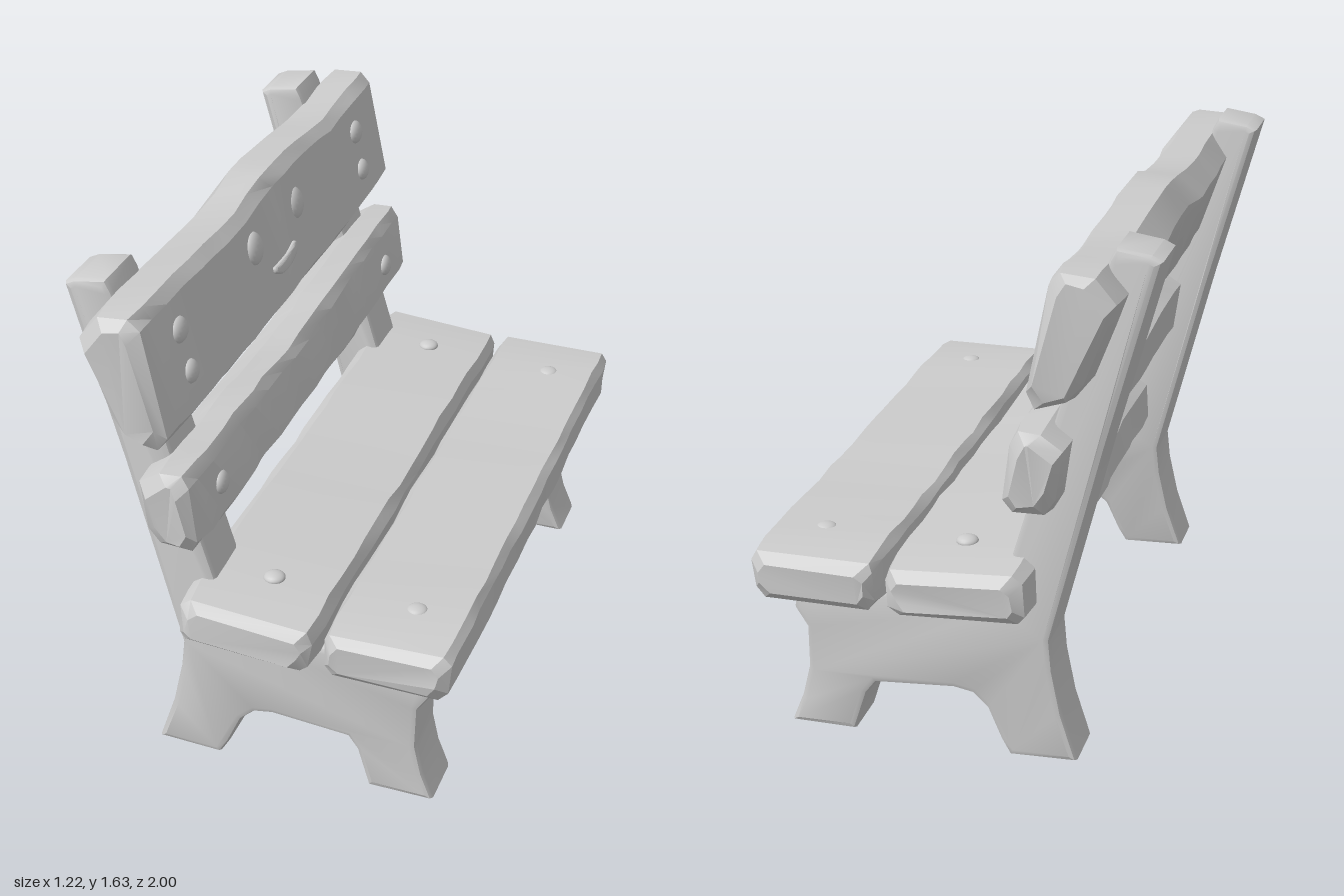
import * as THREE from 'three';
import { mergeVertices, toCreasedNormals } from 'three/addons/utils/BufferGeometryUtils.js';

const material = new THREE.MeshStandardMaterial({ color: 0xcccccc, side: THREE.DoubleSide });

function seeded(seed) {
  let s = seed;
  return () => ((s = (s * 16807) % 2147483647) / 2147483647) - 0.5;
}

function addMesh(parent, geometry, name) {
  const mesh = new THREE.Mesh(geometry, material);
  mesh.name = name;
  parent.add(mesh);
  return mesh;
}

// Linear lookup in a list of evenly spaced values, t from 0 to 1
function sample(list, t) {
  const f = Math.min(Math.max(t, 0), 1) * (list.length - 1);
  const i = Math.min(Math.floor(f), list.length - 2);
  return THREE.MathUtils.lerp(list[i], list[i + 1], f - i);
}

// Hewn plank: a counter-clockwise section in x,y lofted along z.
// top and bottom hold height offsets from the -z end to the +z end.
function plankGeometry({ section, z0, z1, top, bottom, seed }) {
  const rnd = seeded(seed);
  const n = section.length, steps = 18;
  const ys = section.map(p => p[1]);
  const lo = Math.min(...ys), hi = Math.max(...ys);
  const cx = section.reduce((a, p) => a + p[0], 0) / n;
  const cy = (lo + hi) / 2;
  // stations: shrunken end rings, then the full section
  const stations = [[z0, 0.035], [z0 + 0.03, 0.006]];
  for (let i = 1; i < steps; i++) stations.push([THREE.MathUtils.lerp(z0, z1, i / steps), 0]);
  stations.push([z1 - 0.03, 0.006], [z1, 0.035]);

  const pos = [], index = [];
  for (const [z, inset] of stations) {
    const t = (z - z0) / (z1 - z0);
    for (const [x, y] of section) {
      const v = (y - lo) / (hi - lo);
      const dx = Math.sign(x - cx) * Math.min(inset, Math.abs(x - cx));
      const dy = Math.sign(y - cy) * Math.min(inset, Math.abs(y - cy));
      pos.push(x - dx + rnd() * 0.009,
        y - dy + THREE.MathUtils.lerp(sample(bottom, t), sample(top, t), v) + rnd() * 0.007,
        z + (inset ? rnd() * 0.012 : rnd() * 0.05));
    }
  }
  const rings = stations.length;
  for (let i = 0; i < rings - 1; i++) {
    for (let j = 0; j < n; j++) {
      const a = i * n + j, b = i * n + (j + 1) % n;
      index.push(a, b, b + n, a, b + n, a + n);
    }
  }
  const last = (rings - 1) * n;
  for (let j = 1; j < n - 1; j++) {
    index.push(0, j + 1, j, last, last + j, last + j + 1);
  }
  const g = new THREE.BufferGeometry();
  g.setAttribute('position', new THREE.Float32BufferAttribute(pos, 3));
  g.setIndex(index);
  return toCreasedNormals(g, 0.4);
}

// Side frame: both feet, the seat support and the leaning post in one outline
function frameGeometry() {
  const outline = [
    [-0.39, 0.01], [-0.18, 0], [-0.15, 0.05], [-0.105, 0.15], [-0.06, 0.19], [0.0, 0.2],
    [0.25, 0.18], [0.28, 0.14], [0.32, 0.01], [0.53, 0.01], [0.495, 0.1], [0.472, 0.2],
    [0.475, 0.34], [0.515, 0.4], [0.5, 0.49], [-0.13, 0.5], [-0.18, 0.66], [-0.33, 1.18],
    [-0.462, 1.6], [-0.48, 1.635], [-0.58, 1.62], [-0.612, 1.605], [-0.46, 1.04],
    [-0.3, 0.4], [-0.31, 0.3], [-0.34, 0.16]
  ];
  const bevel = 0.02, width = 0.195;
  const g = new THREE.ExtrudeGeometry(
    new THREE.Shape(outline.map(p => new THREE.Vector2(...p))),
    { depth: width - 2 * bevel, bevelSize: bevel, bevelThickness: bevel, bevelOffset: -bevel, bevelSegments: 2, steps: 1 });
  g.translate(0, 0, 0.653 + bevel);
  // feet spread slightly outwards
  const p = g.attributes.position;
  for (let i = 0; i < p.count; i++) {
    p.setZ(i, p.getZ(i) + 0.025 * Math.max(0, 1 - p.getY(i) / 0.5));
  }
  g.deleteAttribute('normal');
  g.deleteAttribute('uv');
  return toCreasedNormals(mergeVertices(g), 0.45);
}

export function createModel() {
  const bench = new THREE.Group();
  bench.name = 'bench';

  // Side frames
  const frame = frameGeometry();
  addMesh(bench, frame, 'leftEndFrame');
  addMesh(bench, frame, 'rightEndFrame').rotation.set(0, 0, 0);
  const mirrored = bench.children[1];
  mirrored.scale.z = -1;

  // Planks
  const planks = {
    frontSeatPlank: {
      section: [[0.225, 0.47], [0.57, 0.465], [0.6, 0.5], [0.606, 0.61], [0.585, 0.64], [0.225, 0.64], [0.205, 0.615], [0.2, 0.5]],
      z0: -0.985, z1: 0.97, top: [0, 0.003, -0.004, 0.002, 0, 0.004, 0], bottom: [0.01, 0, 0.004, 0, -0.002, 0, 0.005], seed: 11
    },
    rearSeatPlank: {
      section: [[-0.24, 0.505], [0.14, 0.48], [0.168, 0.505], [0.183, 0.6], [0.165, 0.64], [-0.22, 0.668], [-0.252, 0.645], [-0.262, 0.525]],
      z0: -0.99, z1: 0.99, top: [-0.006, 0, 0, -0.008, 0, 0.002, -0.004], bottom: [0, 0.005, 0, 0.004, 0, 0, 0], seed: 23
    },
    lowerBackPlank: {
      section: [[-0.31, 0.83], [-0.2, 0.825], [-0.175, 0.865], [-0.2, 1.06], [-0.22, 1.098], [-0.3, 1.1], [-0.368, 1.05], [-0.345, 0.88]],
      z0: -0.965, z1: 0.975, top: [0.008, 0.01, 0.004, -0.016, -0.025, -0.01, -0.014, -0.006], bottom: [0.02, 0.01, 0, 0.008, 0.004, 0, 0.002], seed: 37
    },
    upperBackPlank: {
      section: [[-0.38, 1.19], [-0.28, 1.17], [-0.25, 1.215], [-0.318, 1.56], [-0.35, 1.597], [-0.46, 1.59], [-0.518, 1.51], [-0.43, 1.25]],
      z0: -0.995, z1: 0.995, top: [0.008, -0.005, -0.018, -0.003, 0.012, 0.016, -0.02, -0.018, -0.008, 0, 0.002], bottom: [0.018, 0.01, 0.004, 0, -0.005, -0.003, 0.008], seed: 53
    }
  };
  for (const [name, spec] of Object.entries(planks)) addMesh(bench, plankGeometry(spec), name);

  // Domed pegs; local +x points out of the plank
  const dome = new THREE.SphereGeometry(1, 20, 12);
  const peg = (name, x, y, z, depth, ry, rz, tilt) => {
    const m = addMesh(bench, dome, name);
    m.position.set(x, y, z);
    m.scale.set(depth, ry, rz);
    m.rotation.z = tilt;
  };
  for (const s of [1, -1]) {
    peg('upperBackPeg', -0.303, 1.46, s * 0.75, 0.024, 0.04, 0.046, 0.2);
    peg('upperBackPeg', -0.275, 1.325, s * 0.745, 0.024, 0.037, 0.04, 0.2);
    peg('lowerBackPeg', -0.189, 0.96, s * 0.75, 0.022, 0.037, 0.038, 0.13);
    peg('rearSeatPeg', -0.02, 0.655, s * 0.76, 0.018, 0.034, 0.034, Math.PI / 2);
    peg('frontSeatPeg', 0.435, 0.638, s * 0.75, 0.014, 0.032, 0.032, Math.PI / 2);
    peg('eye', -0.302, 1.45, s * 0.175 + 0.005, 0.026, 0.054, 0.05, 0.2);
  }

  // Smiling mouth
  const smile = new THREE.Shape();
  smile.moveTo(-0.085, 0.008);
  smile.quadraticCurveTo(0.01, 0.004, 0.08, 0.022);
  smile.quadraticCurveTo(0.105, 0.02, 0.085, -0.008);
  smile.quadraticCurveTo(0.03, -0.04, -0.05, -0.028);
  smile.quadraticCurveTo(-0.1, -0.01, -0.085, 0.008);
  const smileGeometry = new THREE.ExtrudeGeometry(smile,
    { depth: 0.02, bevelSize: 0.008, bevelThickness: 0.01, bevelOffset: -0.006, bevelSegments: 3, curveSegments: 8 });
  smileGeometry.rotateY(Math.PI / 2);
  const mouth = addMesh(bench, toCreasedNormals(smileGeometry, 0.7), 'mouth');
  mouth.position.set(-0.288, 1.33, 0);
  mouth.rotation.z = 0.2;

  return bench;
}
